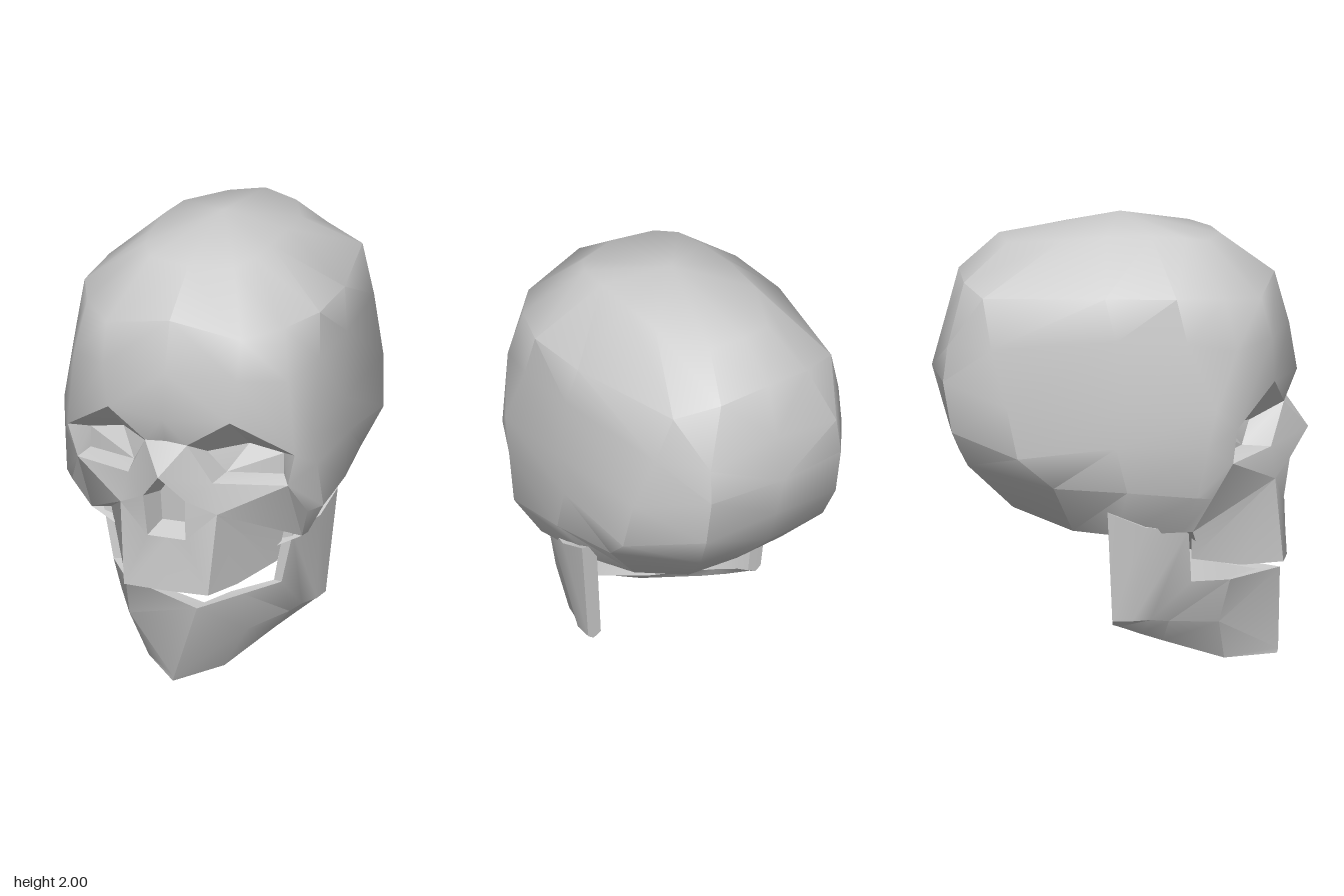
import * as THREE from 'three';
import { toCreasedNormals } from 'three/addons/utils/BufferGeometryUtils.js';

const material = new THREE.MeshStandardMaterial({ color: 0xcccccc, side: THREE.DoubleSide });

// Collects convex polygons of the +x half; mesh() mirrors them across x = 0.
function halfBuilder() {
  const positions = [];
  const face = (...p) => {
    for (let i = 1; i < p.length - 1; i++) {
      const tri = [p[0], p[i], p[i + 1]];
      tri.forEach(([x, y, z]) => positions.push(x, y, z));
      tri.reverse().forEach(([x, y, z]) => positions.push(-x, y, z));
    }
  };
  // lean(y) shifts the points of the middle line sideways
  const mesh = (name, crease, lean = () => 0) => {
    const geometry = new THREE.BufferGeometry();
    const position = new THREE.Float32BufferAttribute(positions, 3);
    for (let i = 0; i < position.count; i++) {
      if (position.getX(i) === 0) position.setX(i, lean(position.getY(i)));
    }
    geometry.setAttribute('position', position);
    const result = new THREE.Mesh(toCreasedNormals(geometry, crease), material);
    result.name = name;
    return result;
  };
  return { face, mesh };
}

// Landmarks shared by the cranium and the face
const brow = [0, 1.29, 0.79];
const nasion = [0, 1.17, 0.74];
const browInner = [0.1, 1.16, 0.735];
const browPeak = [0.29, 1.28, 0.70];
const browOuter = [0.54, 1.10, 0.54];
const rimOuter = [0.5, 0.94, 0.52];
const cheekOuter = [0.56, 0.79, 0.43];
const cheekLow = [0.5, 0.63, 0.34];
const palateMid = [0, 0.52, 0.36];
const palateSide = [0.25, 0.5, 0.36];

function cranium() {
  const { face, mesh } = halfBuilder();
  // Half rings from the front round to the back, from the top down
  const rings = [
    [[0, 1.9, 0.45], [0.2, 1.9, 0.4], [0.26, 1.92, 0.3], [0.28, 1.93, 0.15], [0.29, 1.93, -0.05], [0.28, 1.91, -0.25], [0.16, 1.88, -0.5], [0, 1.9, -0.54]],
    [[0, 1.73, 0.69], [0.32, 1.66, 0.64], [0.47, 1.68, 0.48], [0.56, 1.69, 0.27], [0.56, 1.69, -0.05], [0.44, 1.67, -0.6], [0.24, 1.71, -0.69], [0, 1.74, -0.72]],
    [[0, 1.5, 0.755], [0.32, 1.48, 0.69], [0.51, 1.45, 0.54], [0.58, 1.49, 0.32], [0.59, 1.5, 0], [0.51, 1.45, -0.56], [0.35, 1.44, -0.76], [0, 1.5, -0.785]],
    [brow, browPeak, browOuter, [0.59, 1.19, 0.45], [0.6, 1.2, 0.05], [0.58, 1.2, -0.49], [0.36, 1.28, -0.78], [0, 1.3, -0.84]],
    [[], [], rimOuter, [0.6, 1.02, 0.41], [0.6, 1.02, 0], [0.6, 0.97, -0.44], [0.36, 1.05, -0.74], [0, 1.09, -0.78]],
    [[], [], cheekOuter, [0.61, 0.8, 0.36], [0.6, 0.82, 0.05], [0.55, 0.83, -0.28], [0.34, 0.9, -0.67], [0, 0.92, -0.72]],
    [palateMid, palateSide, cheekLow, [0.51, 0.63, 0.29], [0.43, 0.6, 0], [0.36, 0.61, -0.2], [0.26, 0.7, -0.47], [0, 0.7, -0.49]],
  ];
  rings.forEach((ring, i) => {
    for (let j = 0; j < ring.length - 1; j++) {
      if (i === 0) face([0, 2, 0], ring[j], ring[j + 1]);
      const next = rings[i + 1];
      if (!next) face([0, 0.58, -0.05], ring[j + 1], ring[j]);
      else if (i < 3 || j > 1) face(ring[j], next[j], next[j + 1], ring[j + 1]); // open behind the face
    }
  });
  // Brow between the eyes
  face(brow, nasion, browInner);
  face(brow, browInner, browPeak);
  return mesh('cranium', 0.75);
}

function facialBones() {
  const { face, mesh } = halfBuilder();
  const noseTip = [0, 1.03, 0.84];
  const noseSide = [0.1, 0.9, 0.76], noseLow = [0.09, 0.7, 0.73], noseBase = [0, 0.7, 0.73];
  const rimInner = [0.2, 0.97, 0.68];
  const maxilla = [0.23, 0.83, 0.7], maxillaBack = [0.41, 0.64, 0.33];
  const teeth = [[0, 0.45, 0.745], [0.2, 0.45, 0.735], [0.27, 0.445, 0.55], [0.38, 0.49, 0.33]];

  // A hollow between a rim, clockwise seen from the front, and its inner loop
  const pit = (rim, inner, closed) => {
    const count = closed ? rim.length : rim.length - 1;
    for (let k = 0; k < count; k++) {
      const n = (k + 1) % rim.length;
      face(rim[n], rim[k], inner[k], inner[n]);
    }
    face(...inner.slice().reverse());
  };

  // Nose bridge
  face(nasion, noseTip, browInner);
  face(browInner, noseTip, rimInner);
  face(noseTip, noseSide, rimInner);

  // Upper jaw front, flanks, underside and back
  face(rimInner, noseSide, maxilla);
  face(noseSide, noseLow, maxilla);
  face(noseLow, teeth[1], maxilla);
  face(noseBase, teeth[0], teeth[1], noseLow);
  face(maxilla, teeth[1], teeth[2]);
  face(maxilla, teeth[2], teeth[3]);
  face(maxilla, teeth[3], maxillaBack);
  face(palateMid, palateSide, teeth[1], teeth[0]);
  face(palateSide, teeth[3], teeth[2], teeth[1]);
  face(maxillaBack, teeth[3], palateSide);

  // Cheekbone
  face(rimInner, maxilla, rimOuter);
  face(rimOuter, maxilla, cheekLow);
  face(rimOuter, cheekLow, cheekOuter);
  face(maxilla, maxillaBack, cheekLow);

  // Eye socket with a steep roof, and nasal opening
  pit([browInner, browPeak, browOuter, rimOuter, rimInner],
    [[0.14, 1.08, 0.58], [0.3, 1.1, 0.47], [0.46, 1.07, 0.46], [0.46, 0.97, 0.46], [0.22, 0.98, 0.55]], true);
  pit([noseTip, noseSide, noseLow, noseBase],
    [[0, 0.97, 0.64], [0.065, 0.88, 0.63], [0.06, 0.74, 0.62], [0, 0.74, 0.62]], false);
  return mesh('facialBones', 0.45);
}

function lowerJaw() {
  const { face, mesh } = halfBuilder();
  // Sections from chin to hinge: outer top, outer crease, bottom, inner bottom, inner top
  const sections = [
    [[0, 0.37, 0.71], [0, 0.02, 0.705], [0, 0, 0.7], [0, 0.05, 0.58], [0, 0.36, 0.61]],
    [[0.28, 0.38, 0.5], [0.28, 0.19, 0.45], [0.18, 0.01, 0.47], [0.16, 0.08, 0.38], [0.21, 0.37, 0.47]],
    [[0.4, 0.39, 0.33], [0.4, 0.21, 0.23], [0.32, 0.11, 0.2], [0.29, 0.15, 0.2], [0.36, 0.39, 0.32]],
    [[0.45, 0.63, 0.32], [0.43, 0.22, 0.15], [0.38, 0.15, 0.1], [0.34, 0.18, 0.12], [0.4, 0.63, 0.31]],
    [[0.51, 0.65, 0.13], [0.47, 0.22, 0.07], [0.44, 0.19, 0.01], [0.39, 0.21, 0.03], [0.43, 0.65, 0.12]],
    [[0.53, 0.72, -0.04], [0.48, 0.22, -0.02], [0.45, 0.2, -0.02], [0.41, 0.22, -0.02], [0.45, 0.71, -0.04]],
  ];
  for (let s = 0; s < sections.length - 1; s++) {
    const a = sections[s], b = sections[s + 1];
    a.forEach((_, k) => {
      const n = (k + 1) % a.length;
      face(a[k], a[n], b[n], b[k]);
    });
  }
  face(...sections[sections.length - 1]);
  // The chin ridge leans to the left at the top
  return mesh('lowerJaw', 0.6, (y) => 0.02 + 0.32 * y);
}

export function createModel() {
  const skull = new THREE.Group();
  skull.name = 'skull';
  skull.add(cranium(), facialBones(), lowerJaw());
  return skull;
}
